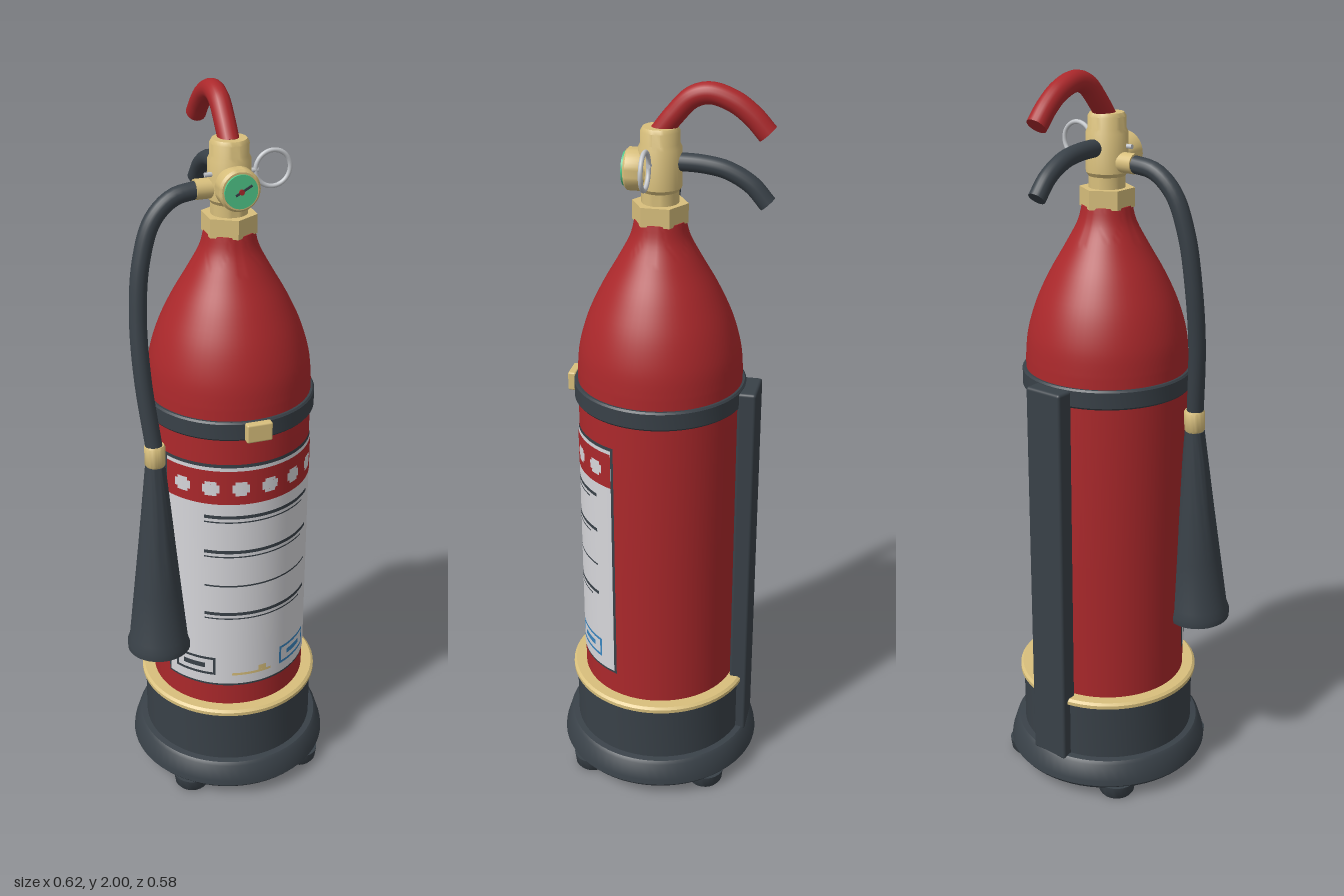
import * as THREE from 'three';
import { toCreasedNormals } from 'three/addons/utils/BufferGeometryUtils.js';
import { RoundedBoxGeometry } from 'three/addons/geometries/RoundedBoxGeometry.js';

const paint = (name, color) => Object.assign(new THREE.MeshStandardMaterial({ color }), { name });
const V = (x, y, z) => new THREE.Vector3(x, y, z);

export function createModel() {
  const red = paint('red paint', 0xab282b);
  const dark = paint('dark rubber', 0x394148);
  const brass = paint('brass', 0xd8bf7c);
  const white = paint('label white', 0xd6d6da);
  const green = paint('gauge green', 0x50c88a);
  const steel = paint('steel', 0xc4c7cb);
  const blue = paint('label blue', 0x3a86c0);

  const model = new THREE.Group();
  model.name = 'fireExtinguisher';
  // Everything is laid out around the cylinder axis
  const root = new THREE.Group();
  root.name = 'assembly';
  root.position.x = 0.02;
  model.add(root);

  const add = (name, geo, mat, x = 0, y = 0, z = 0) => {
    const m = new THREE.Mesh(geo, mat);
    m.name = name;
    m.position.set(x, y, z);
    root.add(m);
    return m;
  };
  const lathe = (pts, seg = 64) => toCreasedNormals(
    new THREE.LatheGeometry(pts.map(p => new THREE.Vector2(p[0], p[1])), seg), 0.6);
  // Round bar along a curve, closed by flat ends
  const bar = (name, pts, r, mat) => {
    const curve = new THREE.CatmullRomCurve3(pts);
    add(name, new THREE.TubeGeometry(curve, 48, r, 18), mat);
    [0, 1].forEach(t => {
      const p = curve.getPoint(t);
      const dir = curve.getTangent(t).multiplyScalar(t ? 1 : -1);
      const cap = add(name + 'End', new THREE.CircleGeometry(r, 18), mat, p.x, p.y, p.z);
      cap.quaternion.setFromUnitVectors(V(0, 0, 1), dir);
    });
  };

  // Cylinder with domed shoulder
  const shoulder = new THREE.SplineCurve([[0.22, 1.24], [0.213, 1.31], [0.19, 1.39], [0.153, 1.47],
    [0.11, 1.545], [0.078, 1.605], [0.066, 1.65]].map(p => new THREE.Vector2(...p)));
  add('cylinder', lathe([[0, 0.12], [0.22, 0.12], [0.22, 0.7],
    ...shoulder.getPoints(28).map(p => [p.x, p.y]), [0, 1.66]]), red);

  // Base with skirt, brass rim and four feet
  add('base', lathe([[0, 0.035], [0.28, 0.035], [0.288, 0.045], [0.286, 0.06], [0.272, 0.105],
    [0.264, 0.113], [0.247, 0.115], [0.247, 0.28], [0, 0.28]]), dark);
  add('baseRim', lathe([[0.22, 0.276], [0.25, 0.276], [0.257, 0.28], [0.257, 0.29],
    [0.25, 0.296], [0.22, 0.296]]), brass);
  for (const x of [-0.17, 0.17]) for (const z of [-0.17, 0.17])
    add('foot', lathe([[0, 0], [0.044, 0], [0.05, 0.008], [0.054, 0.04], [0, 0.04]], 24), dark, x, 0, z);

  // Back rail, strap and buckle
  add('backRail', new RoundedBoxGeometry(0.115, 1.105, 0.05, 3, 0.008), dark, 0, 0.655, -0.243);
  add('strap', lathe([[0.215, 1.161], [0.226, 1.161], [0.23, 1.166], [0.23, 1.209],
    [0.226, 1.214], [0.215, 1.214]]), dark);
  add('buckle', new RoundedBoxGeometry(0.07, 0.052, 0.022, 3, 0.005), brass, 0, 1.188, 0.237);

  // Valve: hex nut, body and cap
  const nut = new THREE.CylinderGeometry(0.073, 0.073, 0.05, 6).toNonIndexed();
  nut.computeVertexNormals();
  add('valveNut', nut, brass, 0, 1.67, 0);
  add('valveBody', lathe([[0, 1.69], [0.048, 1.69], [0.048, 1.725], [0.055, 1.735], [0.055, 1.835],
    [0.05, 1.845], [0.05, 1.875], [0.044, 1.885], [0, 1.885]], 32), brass);
  const outlet = add('hoseFitting', new THREE.CylinderGeometry(0.026, 0.026, 0.06, 24), brass, -0.062, 1.763, 0);
  outlet.rotation.z = Math.PI / 2;

  // Pressure gauge facing forward
  const gauge = add('gaugeCase', lathe([[0, 0.03], [0.048, 0.03], [0.054, 0.045], [0.054, 0.08],
    [0.048, 0.086], [0, 0.086]], 36), brass, 0, 1.775, 0);
  gauge.rotation.x = Math.PI / 2;
  const dial = add('gaugeDial', new THREE.CylinderGeometry(0.043, 0.043, 0.008, 36), green, 0, 1.775, 0.088);
  dial.rotation.x = Math.PI / 2;
  const needle = add('gaugeNeedle', new THREE.BoxGeometry(0.048, 0.006, 0.003), dark, 0.006, 1.778, 0.093);
  needle.rotation.z = 0.5;
  const hub = add('gaugeHub', new THREE.CylinderGeometry(0.007, 0.007, 0.005, 16), red, 0, 1.775, 0.094);
  hub.rotation.x = Math.PI / 2;

  // Carrying handle and squeeze lever
  bar('handle', [V(0, 1.87, 0), V(0, 1.915, -0.035), V(0, 1.96, -0.08), V(0, 1.972, -0.125),
    V(0, 1.953, -0.185), V(0, 1.92, -0.23), V(0, 1.88, -0.267)], 0.027, red);
  bar('lever', [V(0, 1.8, -0.03), V(0, 1.797, -0.11), V(0, 1.785, -0.17),
    V(0, 1.752, -0.23), V(0, 1.706, -0.272)], 0.023, dark);

  // Safety pin with ring
  add('pinRing', new THREE.TorusGeometry(0.046, 0.006, 10, 40), steel, 0.11, 1.802, 0.015);
  const pin = add('pin', new THREE.CylinderGeometry(0.006, 0.006, 0.14, 12), steel, 0, 1.802, 0.015);
  pin.rotation.z = Math.PI / 2;

  // Hose, coupling and horn
  bar('hose', [V(-0.08, 1.763, 0), V(-0.15, 1.75, 0.006), V(-0.205, 1.7, 0.012), V(-0.24, 1.6, 0.022),
    V(-0.256, 1.46, 0.036), V(-0.255, 1.3, 0.058), V(-0.235, 1.09, 0.085)], 0.023, dark);
  const hornTop = V(-0.235, 1.05, 0.085);
  const tilt = new THREE.Quaternion().setFromUnitVectors(V(0, -1, 0), V(-0.009, -0.57, 0.025).normalize());
  const coupling = add('hornCoupling', lathe([[0, 0], [0.025, 0], [0.028, 0.005], [0.028, 0.055],
    [0.025, 0.06], [0, 0.06]], 28), brass);
  const horn = add('horn', lathe([[0, -0.1], [0.03, -0.1], [0.08, -0.57], [0.088, -0.57], [0.089, -0.55],
    [0.082, -0.53], [0.066, -0.38], [0.05, -0.23], [0.035, -0.08], [0.027, 0], [0, 0]], 40), dark);
  for (const part of [coupling, horn]) {
    part.position.copy(hornTop);
    part.quaternion.copy(tilt);
  }

  // Curved label: layered patches that follow the cylinder
  const patch = (name, layer, y0, y1, a0, a1, mat) => {
    const rad = Math.PI / 180, r = 0.2204 + 0.0011 * layer;
    add(name, new THREE.CylinderGeometry(r, r, y1 - y0, Math.max(1, Math.ceil((a1 - a0) / 4)), 1, true,
      a0 * rad, (a1 - a0) * rad), mat, 0, (y0 + y1) / 2, 0);
  };
  const frame = (name, y0, y1, a0, a1, mat) => {
    const t = 0.008, d = 2;
    patch(name, 3, y0, y0 + t, a0, a1, mat);
    patch(name, 3, y1 - t, y1, a0, a1, mat);
    patch(name, 3, y0 + t, y1 - t, a0, a0 + d, mat);
    patch(name, 3, y0 + t, y1 - t, a1 - d, a1, mat);
  };
  patch('labelBorder', 1, 0.363, 1.087, -68, 68, dark);
  patch('labelSheet', 2, 0.37, 1.078, -66, 66, white);
  patch('labelBand', 3, 0.967, 1.068, -66, 66, red);
  for (let i = 0; i < 6; i++) {
    // Rounded spot made from a wide and a tall patch
    const a = -52 + i * 20.8;
    patch('bandSpot', 4, 1.003, 1.027, a - 6, a + 6, white);
    patch('bandSpot', 4, 0.994, 1.003, a - 4, a + 4, white);
    patch('bandSpot', 4, 1.027, 1.036, a - 4, a + 4, white);
  }
  for (const [y, h] of [[0.927, 0.01], [0.817, 0.01], [0.706, 0.005], [0.613, 0.01]]) {
    patch('textLine', 3, y - h / 2, y + h / 2, -36, 52, dark);
    if (h > 0.006) patch('textLine', 3, y - 0.018, y - 0.014, -36, 44, dark);
  }
  frame('darkIcon', 0.4, 0.46, -60, -28, dark);
  patch('darkIconBar', 3, 0.422, 0.438, -53, -36, dark);
  patch('yellowIcon', 3, 0.4, 0.408, -16, 14, brass);
  patch('yellowIcon', 3, 0.408, 0.424, 4, 10, brass);
  frame('blueIcon', 0.4, 0.46, 22, 54, blue);
  patch('blueIconBar', 3, 0.422, 0.438, 30, 46, blue);
  return model;
}
